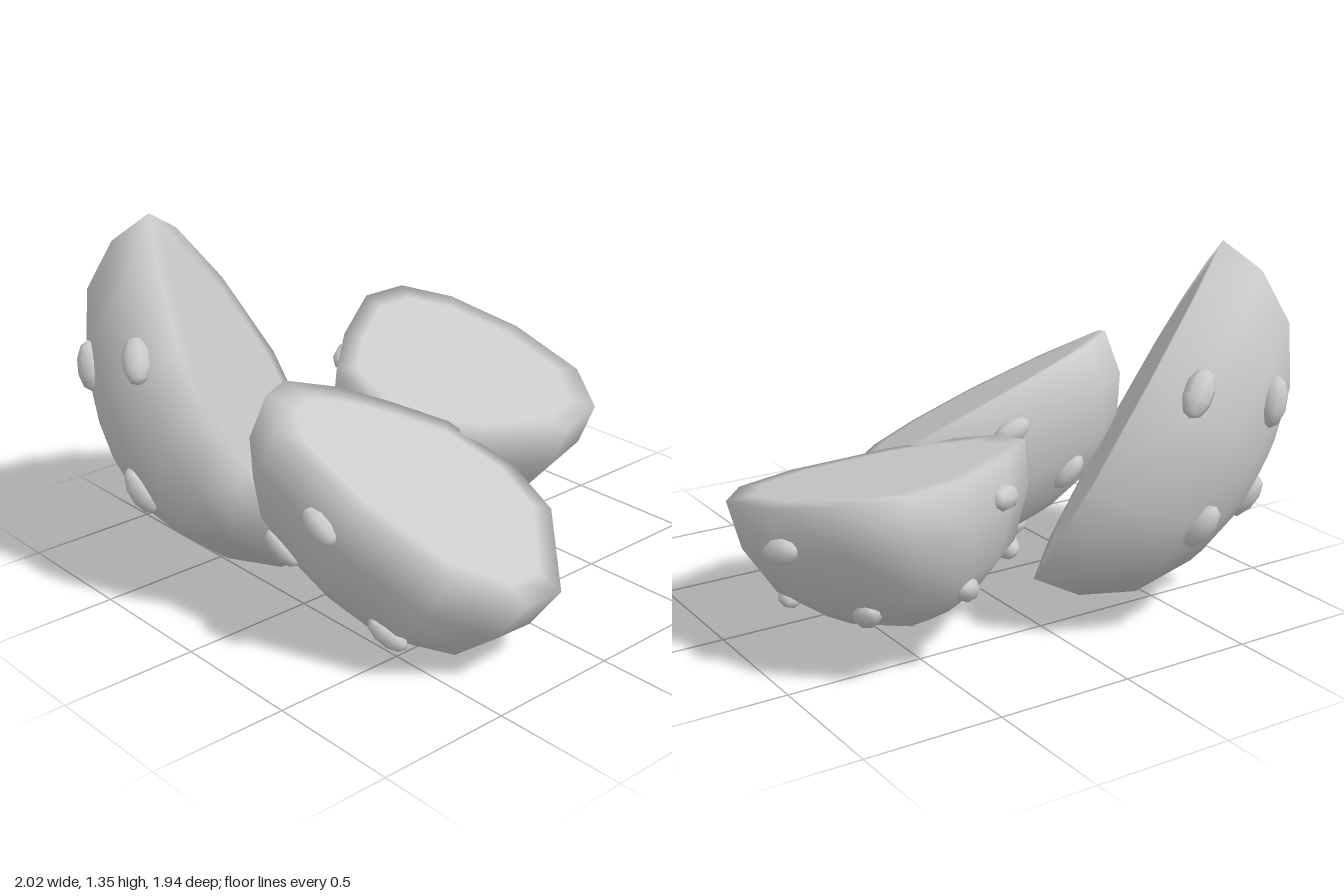
import * as THREE from 'three';
import { mergeVertices } from 'three/addons/utils/BufferGeometryUtils.js';

// Cross-sections [size, depth below the cut]: cut middle, inset, rim, then the dome
const SECTIONS = [[0, 0], [0.83, 0], [1, 0], [0.96, 0.17], [0.8, 0.34], [0.52, 0.46], [0.25, 0.51], [0, 0.525]];

// Seed directions (across, towards the tip, out of the cut); those off the middle are mirrored
const HALF_SEEDS = [[0.38, 0.3, -0.14], [0.155, 0.32, -0.37], [0.38, -0.07, -0.36], [0, -0.06, -0.52]];

// Each piece: its cut plane y = a + b x + c z, the middle and tip of the cut and the rim corners as [x, z]
const PIECES = [
  {
    name: 'backPiece', plane: [-0.437, -1.439, -1.379], middle: [-0.42, -0.41], tip: [-0.63, -0.66], seedSize: 1.15,
    rim: [[-0.63, -0.66], [-0.76, -0.43], [-0.86, -0.18], [-0.87, -0.02], [-0.8, 0.06], [-0.72, 0.1],
      [-0.35, -0.06], [-0.03, -0.41], [0.075, -0.65], [0.03, -0.82], [-0.185, -0.85], [-0.435, -0.78]],
  },
  {
    name: 'leftPiece', plane: [0.6, -0.06, -0.25], middle: [0.49, -0.25], tip: [0.75, -0.86], seedSize: 1,
    rim: [[0.75, -0.84], [0.53, -0.82], [0.22, -0.6], [0, -0.39], [-0.04, -0.11], [0.06, 0.08],
      [0.22, 0.2], [0.58, 0.285], [0.82, 0.21], [0.98, -0.03], [0.995, -0.39], [0.9, -0.69]],
  },
  {
    name: 'frontPiece', plane: [0.676, -0.365, -0.467], middle: [-0.24, 0.43], tip: [-0.64, -0.02], seedSize: 1,
    rim: [[-0.28, -0.05], [-0.52, -0.05], [-0.67, 0.04], [-0.765, 0.21], [-0.73, 0.55], [-0.58, 0.85],
      [-0.35, 0.96], [-0.12, 0.9], [0.25, 0.51], [0.28, 0.285], [0.145, 0.075], [-0.07, 0]],
  },
];

// Rounded dome hanging below a flat cut
function halfFruitGeometry(rim, centre, normal) {
  const positions = [], index = [], n = rim.length;
  for (const [size, drop] of SECTIONS) {
    for (const corner of rim) {
      positions.push(...centre.clone().lerp(corner, size).addScaledVector(normal, -drop));
    }
  }
  for (let r = 0; r < SECTIONS.length - 1; r++) {
    for (let i = 0; i < n; i++) {
      const a = r * n + i, b = r * n + (i + 1) % n;
      const c = a + n, d = b + n;
      if (r > 0) index.push(a, d, b);
      if (r < SECTIONS.length - 2) index.push(a, c, d);
    }
  }
  const geometry = new THREE.BufferGeometry();
  geometry.setAttribute('position', new THREE.Float32BufferAttribute(positions, 3));
  geometry.setIndex(index);
  const merged = mergeVertices(geometry, 1e-4);
  merged.computeVertexNormals();
  return merged;
}

export function createModel() {
  const model = new THREE.Group();
  model.name = 'fruitHalves';
  const grey = new THREE.MeshStandardMaterial({ color: 0xcccccc });
  grey.name = 'grey';
  const seedGeometry = new THREE.SphereGeometry(1, 8, 5);
  const raycaster = new THREE.Raycaster();

  for (const { name, plane: [a, b, c], middle, tip, seedSize, rim } of PIECES) {
    const onCut = ([x, z]) => new THREE.Vector3(x, a + b * x + c * z, z);
    const normal = new THREE.Vector3(-b, 1, -c).normalize();
    const centre = onCut(middle);
    const towardsTip = onCut(tip).sub(centre).normalize();
    const sideways = towardsTip.clone().cross(normal);
    const piece = new THREE.Group();
    piece.name = name;
    model.add(piece);

    // Rounded body with its flat cut
    const body = new THREE.Mesh(halfFruitGeometry(rim.map(onCut), centre, normal), grey);
    body.name = 'halfFruit';
    piece.add(body);

    // Seeds sit on the dome, their long side towards the tip
    const frame = new THREE.Matrix4().makeBasis(sideways, towardsTip, normal);
    for (const [x, y, z] of HALF_SEEDS) {
      for (const side of x > 0 ? [-1, 1] : [1]) {
        const out = new THREE.Vector3(x * side, y, z).applyMatrix4(frame).normalize();
        raycaster.set(centre.clone().addScaledVector(out, 3), out.clone().negate());
        const [hit] = raycaster.intersectObject(body);
        const up = hit.face.normal;
        const along = towardsTip.clone().projectOnPlane(up).normalize();
        const across = along.clone().cross(up);
        const seed = new THREE.Mesh(seedGeometry, grey);
        seed.name = 'seed';
        seed.quaternion.setFromRotationMatrix(new THREE.Matrix4().makeBasis(across, along, up));
        seed.position.copy(hit.point).addScaledVector(up, 0.006);
        seed.scale.set(0.046, 0.08, 0.04).multiplyScalar(seedSize);
        piece.add(seed);
      }
    }
  }
  return model;
}
